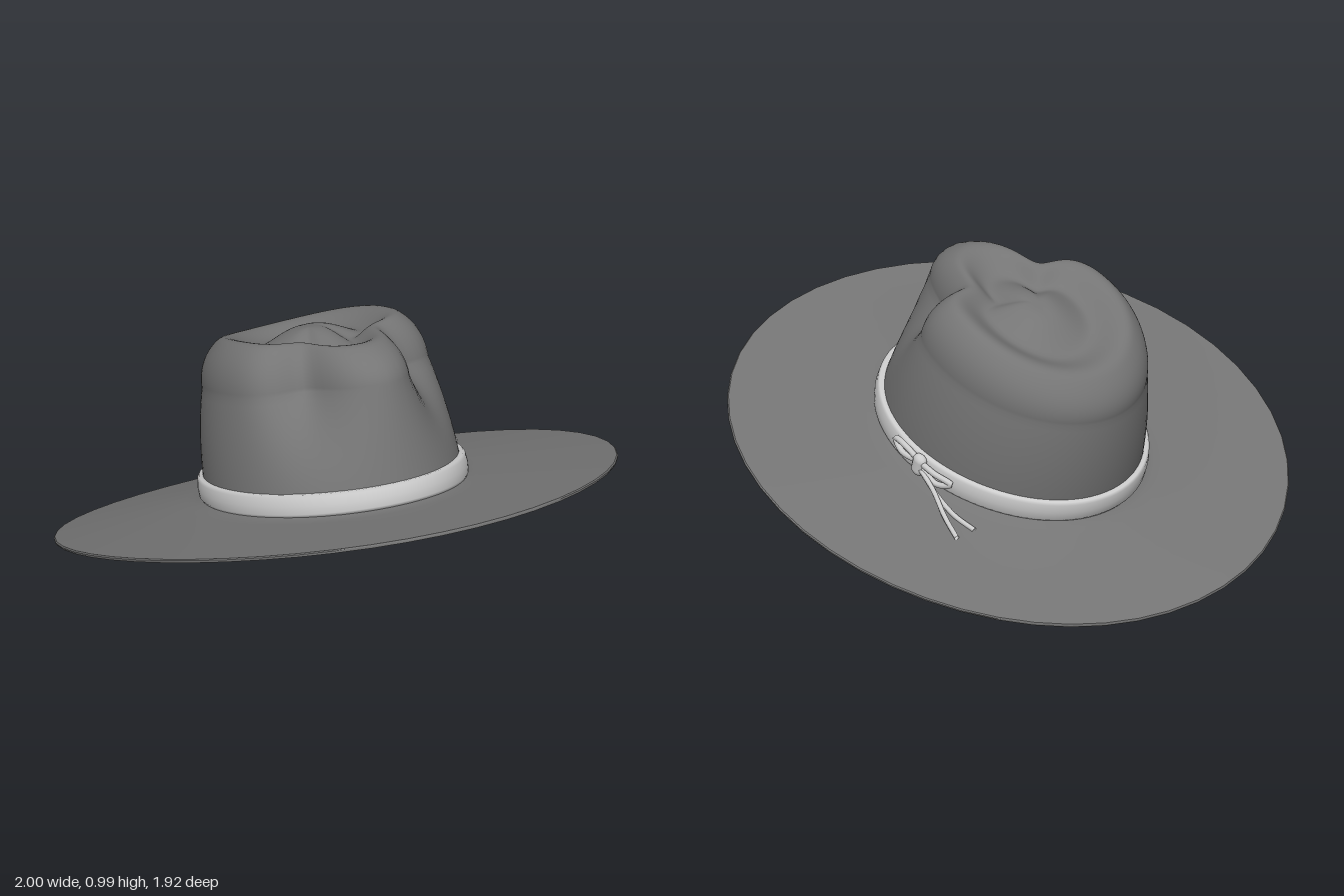
import * as THREE from 'three';
import { mergeVertices, toCreasedNormals } from 'three/addons/utils/BufferGeometryUtils.js';

const { lerp, smoothstep } = THREE.MathUtils;
const TILT = 0.294;

// Rings of points closed around the hat; rows run up the outside or inward on top.
function ringSurface(rows, cols, point) {
  const pos = [], index = [];
  for (let i = 0; i <= rows; i++)
    for (let j = 0; j < cols; j++) pos.push(...point(i, (j / cols) * Math.PI * 2));
  for (let i = 0; i < rows; i++)
    for (let j = 0; j < cols; j++) {
      const k = (j + 1) % cols;
      const a = i * cols + j, b = i * cols + k, c = a + cols, d = b + cols;
      index.push(a, b, d, a, d, c);
    }
  let g = new THREE.BufferGeometry();
  g.setAttribute('position', new THREE.Float32BufferAttribute(pos, 3));
  g.setIndex(index);
  g = mergeVertices(g, 1e-5);
  g.computeVertexNormals();
  return g;
}

// Radius of an oval with its own front and back lengths; phi = 0 is the front.
function oval(phi, side, front, back) {
  const len = Math.cos(phi) > 0 ? front : back;
  return 1 / Math.hypot(Math.sin(phi) / side, Math.cos(phi) / len);
}
const baseRadius = (phi) => oval(phi, 0.432, 0.522, 0.515);
const baseHeight = (phi) => 0.055 - 0.02 * Math.cos(phi);
const polar = (phi, r, y) => [Math.sin(phi) * r, y, Math.cos(phi) * r];

// Teardrop outline of the shoulder, pinched on both sides of the front.
function shoulderRadius(phi) {
  const a = Math.abs(Math.atan2(Math.sin(phi), Math.cos(phi)));
  const pinch = Math.exp(-(((a - 0.62) / 0.32) ** 2));
  return oval(phi, 0.388, 0.52, 0.47) * (1 - 0.29 * pinch);
}

function crownGeometry() {
  const wallRows = 16, capRows = 36, shoulder = 0.46;
  return ringSurface(wallRows + capRows, 96, (i, phi) => {
    const top = shoulderRadius(phi);
    if (i <= wallRows) {
      const k = i / wallRows;
      return polar(phi, lerp(baseRadius(phi), top, k ** 2.2), lerp(baseHeight(phi) - 0.01, shoulder, k));
    }
    // Domed top with a sunken crease around a raised middle
    const s = Math.cos(((i - wallRows) / capRows) * Math.PI / 2);
    const n = 2 + 2 * Math.sin(phi) ** 2;
    const dome = 0.225 * Math.max(0, 1 - s ** n) ** 0.48;
    const crease = 0.1 * (1 - smoothstep(s, 0.42, 0.82));
    const bump = 0.05 * (1 - smoothstep(s, 0.08, 0.5));
    return polar(phi, top * s, shoulder + dome - crease + bump);
  });
}

function brimGeometry() {
  // [distance from crown to edge, drop below the top face]
  const profile = [];
  const steps = [0, 0.04, 0.09, 0.16, 0.26, 0.38, 0.52, 0.66, 0.8, 0.91];
  for (const w of steps) profile.push([w, 0.008]);
  profile.push([0.915, 0.013], [0.993, 0.013], [1, 0.008], [1, 0.004], [0.993, 0]);
  for (const w of steps.slice().reverse()) profile.push([w, 0]);
  const g = ringSurface(profile.length - 1, 48, (i, phi) => {
    const [w, drop] = profile[i];
    const edge = 0.03 * Math.sin(phi) ** 2;
    const fillet = 0.015 * Math.max(0, 1 - w / 0.1) ** 2;
    const y = lerp(baseHeight(phi), edge, w ** 0.85) + fillet - drop;
    return polar(phi, lerp(baseRadius(phi) - 0.004, 1, w), y);
  });
  return toCreasedNormals(g, 0.7);
}

function bandGeometry() {
  // [offset outward, height above the brim]
  const section = [[-0.01, 0.002], [0.014, 0.004], [0.021, 0.015], [0.023, 0.045],
    [0.019, 0.075], [0.012, 0.084], [-0.015, 0.086]];
  return ringSurface(section.length - 1, 96, (i, phi) =>
    polar(phi, baseRadius(phi) + section[i][0], baseHeight(phi) + section[i][1]));
}

function sweatbandGeometry() {
  return ringSurface(3, 96, (i, phi) =>
    polar(phi, baseRadius(phi) - 0.012 - 0.002 * i, baseHeight(phi) - 0.006 + 0.03 * i));
}

function cord(points, radius, closed = false) {
  const curve = new THREE.CatmullRomCurve3(points.map((p) => new THREE.Vector3(...p)), closed);
  return new THREE.TubeGeometry(curve, 32, radius, 8, closed);
}

export function createModel() {
  const model = new THREE.Group();
  model.name = 'hat';
  const felt = new THREE.MeshStandardMaterial({ color: 0x757575, side: THREE.DoubleSide });
  const ribbon = new THREE.MeshStandardMaterial({ color: 0xcccccc, side: THREE.DoubleSide });
  const add = (parent, name, geometry, material) => {
    const mesh = new THREE.Mesh(geometry, material);
    mesh.name = name;
    parent.add(mesh);
    return mesh;
  };

  // Hat body, tipped back
  const body = new THREE.Group();
  body.name = 'hatBody';
  body.rotation.x = -TILT;
  body.position.y = 0.3;
  model.add(body);
  add(body, 'crown', crownGeometry(), felt);
  add(body, 'brim', brimGeometry(), felt);
  add(body, 'sweatband', sweatbandGeometry(), felt);
  add(body, 'hatBand', bandGeometry(), ribbon);

  // Tied cord on the left side of the band
  const bow = new THREE.Group();
  bow.name = 'bow';
  model.add(bow);
  const knot = add(bow, 'knot', new THREE.CapsuleGeometry(0.024, 0.036, 6, 12), ribbon);
  knot.position.set(0.46, 0.385, -0.1);
  knot.rotation.x = -TILT;
  knot.scale.set(0.9, 1, 1.25);
  add(bow, 'frontLoop', cord([[0.46, 0.4, -0.09], [0.468, 0.438, -0.02], [0.462, 0.438, 0.035],
    [0.468, 0.405, -0.01]], 0.011, true), ribbon);
  add(bow, 'backLoop', cord([[0.462, 0.395, -0.11], [0.455, 0.378, -0.18], [0.428, 0.352, -0.245],
    [0.448, 0.338, -0.18]], 0.011, true), ribbon);
  add(bow, 'outerTail', cord([[0.465, 0.375, -0.11], [0.475, 0.33, -0.2], [0.505, 0.275, -0.31],
    [0.526, 0.235, -0.41]], 0.009), ribbon);
  add(bow, 'innerTail', cord([[0.462, 0.37, -0.11], [0.468, 0.32, -0.2], [0.465, 0.27, -0.31],
    [0.442, 0.238, -0.4]], 0.009), ribbon);
  return model;
}
